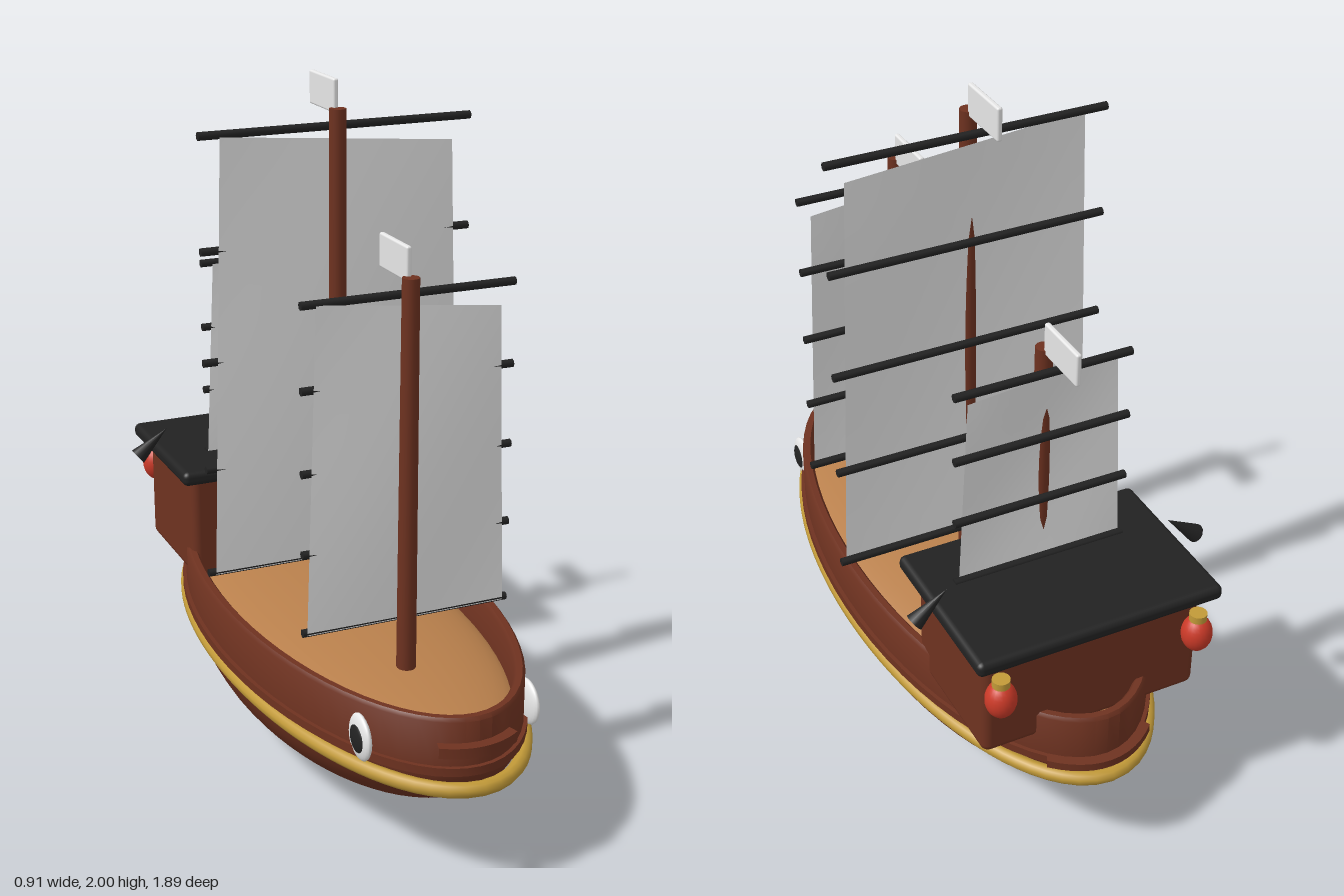
import * as THREE from 'three';
import { toCreasedNormals } from 'three/addons/utils/BufferGeometryUtils.js';
import { RoundedBoxGeometry } from 'three/addons/geometries/RoundedBoxGeometry.js';

const paint = (name, color, extra = {}) => {
  const m = new THREE.MeshStandardMaterial({ color, ...extra });
  m.name = name;
  return m;
};

export function createModel() {
  const ship = new THREE.Group();
  ship.name = 'sailingShip';
  const wood = paint('brownWood', 0x6e3220);
  const deckWood = paint('deckWood', 0xb9804c);
  const gold = paint('gold', 0xc29a38);
  const black = paint('black', 0x222222);
  const red = paint('lanternRed', 0xcc3a28);
  const white = paint('white', 0xf0f0f0);
  const canvas = paint('sailCanvas', 0xe6e6e6, { side: THREE.DoubleSide });

  const add = (name, geo, mat, x = 0, y = 0, z = 0) => {
    const m = new THREE.Mesh(geo, mat);
    m.name = name;
    m.position.set(x, y, z);
    ship.add(m);
    return m;
  };

  // Elliptical ring: profile points are [offset from the ellipse, height]
  const ring = (a, b, profile, start = 0, length = Math.PI * 2, segments = 64) => {
    const pts = profile.map(([o, y]) => new THREE.Vector2(1 + o, y));
    const geo = new THREE.LatheGeometry(pts, segments, start, length);
    const p = geo.attributes.position;
    for (let i = 0; i < p.count; i++) {
      const x = p.getX(i), z = p.getZ(i), r = Math.hypot(x, z);
      p.setXYZ(i, (x / r) * (a + r - 1), p.getY(i), (z / r) * (b + r - 1));
    }
    return toCreasedNormals(geo, 0.7);
  };
  const band = (o0, o1, y0, y1) => [[o0, y0], [o1, y0], [o1, y1], [o0, y1], [o0, y0]];

  // Hull: lower half of an ellipsoid, slightly shallower towards the bow
  const hull = new THREE.SphereGeometry(1, 64, 24, 0, Math.PI * 2, Math.PI / 2, Math.PI / 2);
  hull.scale(0.385, 0.355, 0.9);
  const hp = hull.attributes.position;
  for (let i = 0; i < hp.count; i++) {
    hp.setY(i, hp.getY(i) * (1 - 0.15 * Math.max(0, hp.getZ(i))));
  }
  hull.computeVertexNormals();
  add('hull', hull, wood, 0, 0.36, 0);

  // Bulwark, rub rail, bow plank and gilded waterline
  add('bulwark', ring(0.385, 0.9, [[-0.03, 0.35], [0, 0.35], [0, 0.49], [-0.008, 0.5],
    [-0.026, 0.5], [-0.034, 0.49], [-0.034, 0.35]]), wood);
  add('rubRail', ring(0.385, 0.9, band(-0.02, 0.012, 0.338, 0.362)), wood);
  add('bowPlank', ring(0.385, 0.9, band(-0.02, 0.03, 0.4, 0.43), -0.28, 0.56, 12), wood);
  add('sternRail', ring(0.385, 0.9, band(-0.02, 0.03, 0.338, 0.362), Math.PI - 0.4, 0.8, 12), wood);
  const loop = [];
  for (let i = 0; i < 32; i++) {
    const t = (i / 32) * Math.PI * 2;
    loop.push(new THREE.Vector3(0.376 * Math.sin(t), 0.305, 0.926 * Math.cos(t)));
  }
  add('goldTrim', new THREE.TubeGeometry(new THREE.CatmullRomCurve3(loop, true), 96, 0.021, 10, true), gold);

  // Cambered deck
  const deck = new THREE.SphereGeometry(1, 48, 12, 0, Math.PI * 2, 0, Math.PI / 2);
  deck.scale(0.37, 0.09, 0.885);
  add('deck', deck, deckWood, 0, 0.36, 0);

  // Cabin and roof
  add('cabin', new RoundedBoxGeometry(0.66, 0.34, 0.415, 3, 0.025), wood, 0, 0.58, -0.598);
  add('cabinRoof', new RoundedBoxGeometry(0.74, 0.045, 0.51, 3, 0.018), black, 0, 0.76, -0.6);

  // Mirrored details
  for (const s of [-1, 1]) {
    add('cabinWindow', new RoundedBoxGeometry(0.08, 0.1, 0.025, 2, 0.008), gold, s * 0.18, 0.602, -0.386);
    const horn = add('roofHorn', new THREE.ConeGeometry(0.027, 0.125, 12), black, s * 0.388, 0.802, -0.6);
    horn.rotation.z = s * 0.88;

    const lantern = add('lantern', new THREE.SphereGeometry(0.044, 20, 14), red, s * 0.3, 0.638, -0.843);
    lantern.scale.y = 1.28;
    add('lanternCap', new THREE.CylinderGeometry(0.025, 0.025, 0.022, 16), gold, s * 0.3, 0.697, -0.843);

    const eye = add('eyeWhite', new THREE.SphereGeometry(0.066, 24, 16), white, s * 0.25, 0.396, 0.7);
    eye.scale.x = 0.28;
    const pupil = add('pupil', new THREE.SphereGeometry(0.042, 20, 14), black, s * 0.26, 0.396, 0.705);
    pupil.scale.x = 0.3;
  }

  // Sail: a slightly billowed sheet between four [x, y] corners
  const sailGeometry = ([bl, br, tr, tl]) => {
    const geo = new THREE.PlaneGeometry(1, 1, 16, 16);
    const p = geo.attributes.position;
    const mix = THREE.MathUtils.lerp;
    for (let i = 0; i < p.count; i++) {
      const u = p.getX(i) + 0.5, v = p.getY(i) + 0.5;
      p.setXYZ(i, mix(mix(bl[0], br[0], u), mix(tl[0], tr[0], u), v),
        mix(mix(bl[1], br[1], u), mix(tl[1], tr[1], u), v),
        0.012 * Math.sin(Math.PI * u) * Math.sin(Math.PI * v));
    }
    geo.computeVertexNormals();
    return geo;
  };

  // Masts with their sails, battens and flags
  const rigs = [
    { name: 'fore', z: 0.453, top: 1.56, x0: -0.295, x1: 0.33, y0: 0.575, y1: 1.505, n: 5,
      sail: [[-0.285, 0.57], [0.315, 0.57], [0.285, 1.445], [-0.255, 1.505]] },
    { name: 'main', z: -0.028, top: 1.92, x0: -0.395, x1: 0.43, y0: 0.575, y1: 1.865, n: 5,
      sail: [[-0.375, 0.57], [0.41, 0.57], [0.37, 1.8], [-0.335, 1.86]] },
    { name: 'aft', z: -0.478, top: 1.44, x0: -0.24, x1: 0.28, y0: 0.78, y1: 1.385, n: 4,
      sail: [[-0.235, 0.78], [0.26, 0.78], [0.235, 1.345], [-0.205, 1.385]] },
  ];
  for (const r of rigs) {
    add(r.name + 'Mast', new THREE.CylinderGeometry(0.024, 0.028, r.top - 0.4, 16), wood,
      0, (r.top + 0.4) / 2, r.z);
    add(r.name + 'Sail', sailGeometry(r.sail), canvas, 0, 0, r.z - 0.031);
    for (let i = 0; i < r.n; i++) {
      const y = THREE.MathUtils.lerp(r.y0, r.y1, i / (r.n - 1));
      const batten = add(r.name + 'Batten', new THREE.CylinderGeometry(0.012, 0.012, r.x1 - r.x0, 8), black,
        (r.x0 + r.x1) / 2, y, r.z - 0.042);
      batten.rotation.z = Math.PI / 2;
    }
    add(r.name + 'Flag', new RoundedBoxGeometry(0.016, 0.095, 0.175, 2, 0.006), canvas,
      0, r.top + 0.0325, r.z - 0.098);
  }
  return ship;
}
